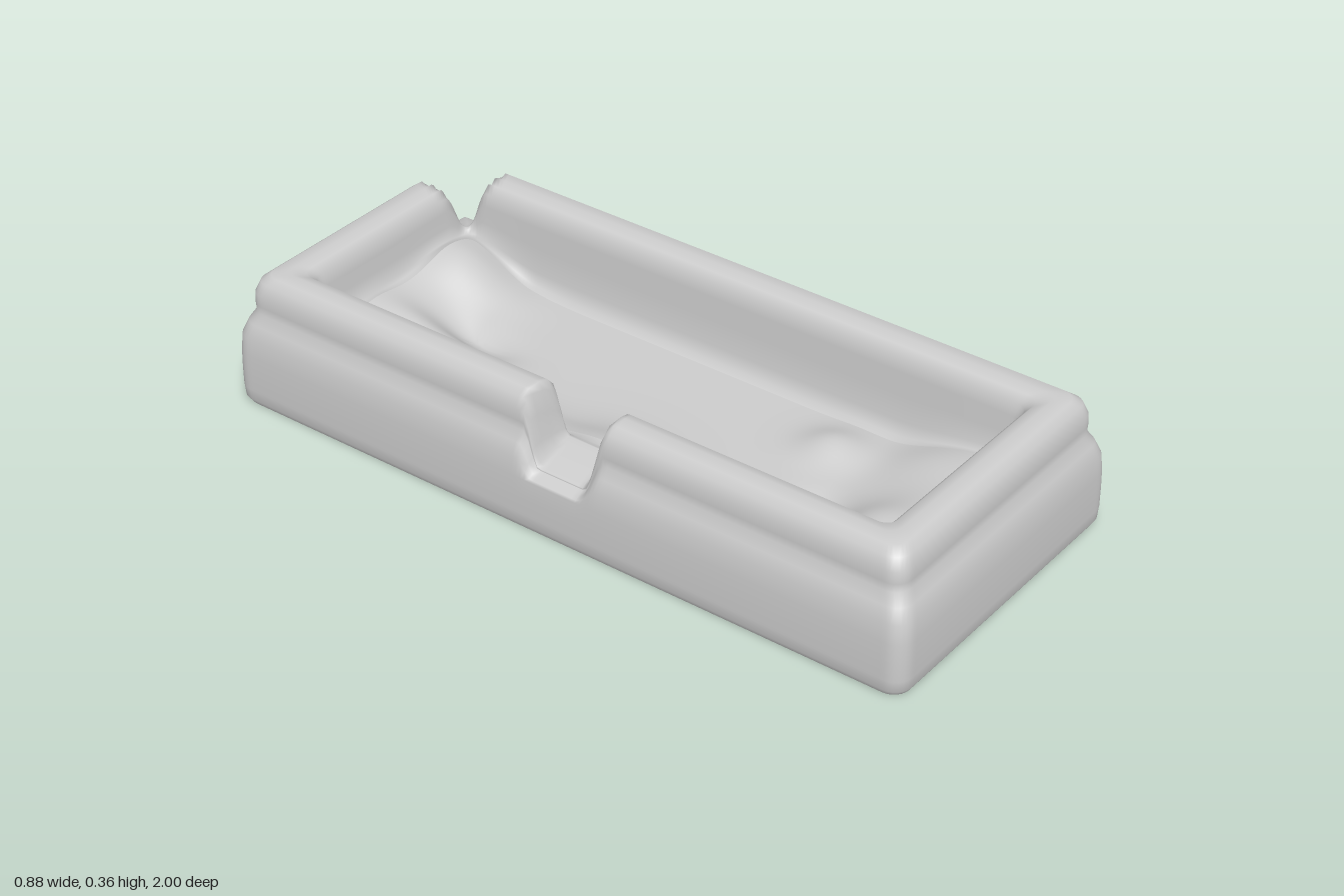
import * as THREE from 'three';
import { mergeVertices } from 'three/addons/utils/BufferGeometryUtils.js';

const HX = 0.44, HZ = 1, CX = -0.01;
const { smoothstep, lerp } = THREE.MathUtils;

// Wall cross-section: [inset from the base edge, height], outside to inside
const wallProfile = [
  [0.012, 0.003], [0.002, 0.02], [0, 0.05], [0, 0.1], [0.001, 0.15], [0.005, 0.2], [0.018, 0.235],
  [0.034, 0.262], [0.033, 0.285], [0.034, 0.315], [0.045, 0.345], [0.065, 0.36],
  [0.1, 0.363], [0.128, 0.356], [0.146, 0.336], [0.152, 0.3], [0.154, 0.26], [0.162, 0.21],
  [0.175, 0.175], [0.195, 0.14],
];

// Soft mounds and hollows of the floor: x, z, width in x, width in z, height
const mounds = [
  [0.15, -0.72, 0.1, 0.14, 0.05], [-0.13, -0.64, 0.08, 0.14, 0.06],
  [-0.02, -0.55, 0.05, 0.1, -0.03], [-0.28, 0.02, 0.13, 0.16, 0.07],
  [-0.22, -0.35, 0.07, 0.15, 0.04], [-0.14, 0.53, 0.07, 0.07, -0.05],
  [0.12, 0.42, 0.08, 0.08, 0.035], [-0.13, 0.7, 0.1, 0.09, 0.03], [0.17, 0.66, 0.1, 0.12, 0.02],
];
// The floor also banks up against the two end walls and the -x wall
function floorHeight(x, z) {
  const banks = 0.09 * (1 - smoothstep(z, -0.86, -0.6)) + 0.07 * smoothstep(z, 0.5, 0.84)
    + 0.04 * (1 - smoothstep(x, -0.28, -0.16)) * (1 - smoothstep(z, -0.3, 0));
  return mounds.reduce((y, [mx, mz, wx, wz, h]) =>
    y + h * Math.exp(-(((x - mx) / wx) ** 2) - ((z - mz) / wz) ** 2), 0.125 + banks);
}

// Broken sections of the rim: one in the middle of the -x wall, one at the +x back corner
function breakRim(x, y, z) {
  const side = smoothstep(z, -0.09, -0.045) * (1 - smoothstep(z, 0.09, 0.15)) * (x < -0.2 ? 1 : 0);
  const corner = smoothstep(x, 0.2, 0.275) * (1 - smoothstep(z, -0.85, -0.79));
  const sideLow = 0.15 + (x + 0.45) * 0.3;
  const edge = Math.max(0, Math.min(z + HZ, CX + HX - x));
  const cornerLow = 0.07 + 0.14 * Math.sqrt(Math.min(1, edge / 0.15));
  if (y > sideLow) y = lerp(y, sideLow + (y - sideLow) * 0.08, side);
  if (y > cornerLow) y = lerp(y, cornerLow + (y - cornerLow) * 0.08, corner);
  return y;
}

// Rounded-rectangle loop as [u, v, normal x, normal z]
function loopSamples() {
  const out = [], signs = [[1, 1], [-1, 1], [-1, -1], [1, -1]], cornerSteps = 6;
  for (let k = 0; k < 4; k++) {
    const [u, v] = signs[k], [u2, v2] = signs[(k + 1) % 4];
    for (let i = 0; i <= cornerSteps; i++) {
      const a = (k + i / cornerSteps) * Math.PI / 2;
      out.push([u, v, Math.cos(a), Math.sin(a)]);
    }
    const n = k % 2 ? 150 : 70, a = (k + 1) * Math.PI / 2;
    for (let i = 1; i < n; i++) {
      out.push([lerp(u, u2, i / n), lerp(v, v2, i / n), Math.cos(a), Math.sin(a)]);
    }
  }
  return out;
}

// Joins concentric loops, one for each inset, into a smooth surface
function ringSurface(insets, heightAt) {
  const loop = loopSamples(), n = loop.length, pos = [], idx = [];
  insets.forEach((d, row) => {
    const hx = HX - d, hz = HZ - d;
    const r = Math.min(hx, Math.max(0.02, 0.045 - d * 0.1));
    for (const [u, v, nx, nz] of loop) {
      const x = CX + u * (hx - r) + nx * r, z = v * (hz - r) + nz * r;
      pos.push(x, heightAt(x, z, row), z);
    }
    if (row === 0) return;
    for (let j = 0; j < n; j++) {
      const a = (row - 1) * n + j, b = (row - 1) * n + (j + 1) % n;
      idx.push(a, a + n, b, b, a + n, b + n);
    }
  });
  let geo = new THREE.BufferGeometry();
  geo.setAttribute('position', new THREE.Float32BufferAttribute(pos, 3));
  geo.setIndex(idx);
  geo = mergeVertices(geo, 1e-5);
  geo.computeVertexNormals();
  return geo;
}

export function createModel() {
  const group = new THREE.Group();
  group.name = 'brokenTrough';
  const material = new THREE.MeshStandardMaterial({ color: 0xcccccc, side: THREE.DoubleSide });
  const add = (name, geo) => {
    const mesh = new THREE.Mesh(geo, material);
    mesh.name = name;
    group.add(mesh);
  };

  // Hollow wall with a rolled rim; its inner foot meets the floor
  const last = wallProfile.length - 1;
  add('wall', ringSurface(wallProfile.map(p => p[0]), (x, z, row) => {
    const foot = smoothstep(row, last - 4, last);
    return breakRim(x, lerp(wallProfile[row][1], floorHeight(x, z), foot), z);
  }));

  // Uneven floor, closing in to the centre line
  const floorInsets = Array.from({ length: 15 }, (_, i) => lerp(wallProfile[last][0], HX, i / 14));
  add('floor', ringSurface(floorInsets, (x, z) => breakRim(x, floorHeight(x, z), z)));

  return group;
}
